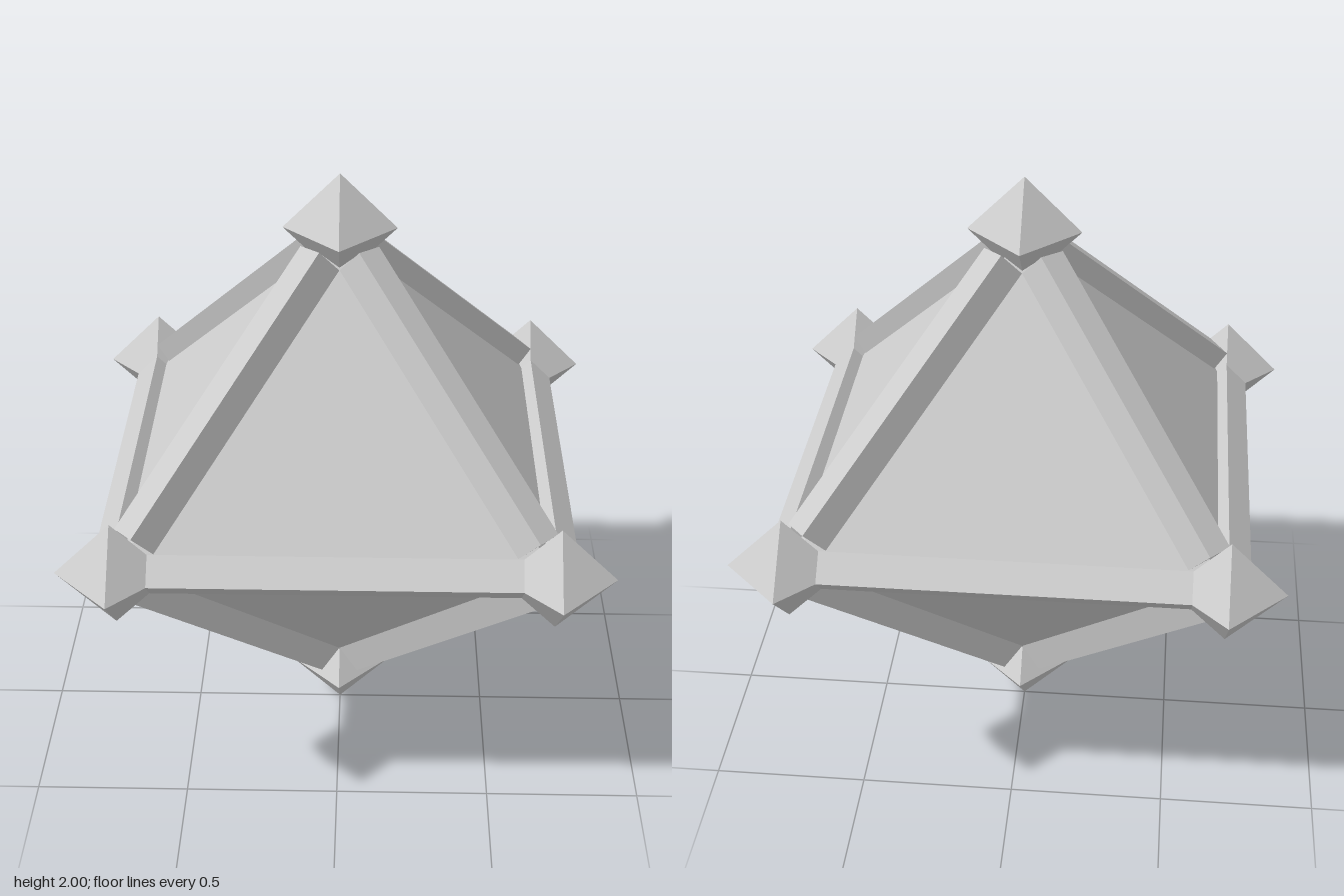
import * as THREE from 'three';

const HALF = 0.66;      // half width of the square waist
const RISE = 0.825;     // waist to top or bottom point
const STUD = 0.175;     // corner stud radius
const BAR = 0.07;       // half diagonal of a bar
const INSET = 0.113;    // gap between a bar's end and its corner

const material = new THREE.MeshStandardMaterial({ color: 0xcccccc, flatShading: true });

// Square bar between two corners, one edge turned towards the side vector
function makeBar(a, b, side, inset) {
  const dir = b.clone().sub(a);
  const length = dir.length() - 2 * inset;
  dir.normalize();
  const x = side.clone().addScaledVector(dir, -side.dot(dir)).normalize();
  const z = x.clone().cross(dir);
  const bar = new THREE.Mesh(new THREE.CylinderGeometry(BAR, BAR, length, 4), material);
  bar.quaternion.setFromRotationMatrix(new THREE.Matrix4().makeBasis(x, dir, z));
  bar.position.copy(a).add(b).multiplyScalar(0.5);
  return bar;
}

export function createModel() {
  const model = new THREE.Group();
  const add = (mesh, name) => { mesh.name = name; model.add(mesh); };

  const corners = [[1, 1], [1, -1], [-1, -1], [-1, 1]]
    .map(([x, z]) => new THREE.Vector3(x * HALF, 1, z * HALF));
  const tips = [1, -1].map((s) => new THREE.Vector3(0, 1 + s * RISE, 0));
  const up = new THREE.Vector3(0, 1, 0);
  const across = new THREE.Vector3(1, 0, 0);

  // Solid core: two four-sided pyramids base to base
  tips.forEach((tip, i) => {
    const core = new THREE.Mesh(
      new THREE.ConeGeometry(HALF * Math.SQRT2, RISE, 4, 1, true), material);
    core.rotation.set(i ? Math.PI : 0, Math.PI / 4, 0);
    core.position.y = (1 + tip.y) / 2;
    add(core, i ? 'lowerPanels' : 'upperPanels');
  });

  // Waist bars and sloping bars
  corners.forEach((corner, i) => {
    add(makeBar(corner, corners[(i + 1) % 4], up, 0.1), 'waistBar');
    tips.forEach((tip, j) =>
      add(makeBar(corner, tip, across, INSET), j ? 'lowerBar' : 'upperBar'));
  });

  // Octahedral stud on every corner
  [...corners, ...tips].forEach((point) => {
    const stud = new THREE.Mesh(new THREE.OctahedronGeometry(STUD), material);
    stud.position.copy(point);
    add(stud, 'cornerStud');
  });

  return model;
}
